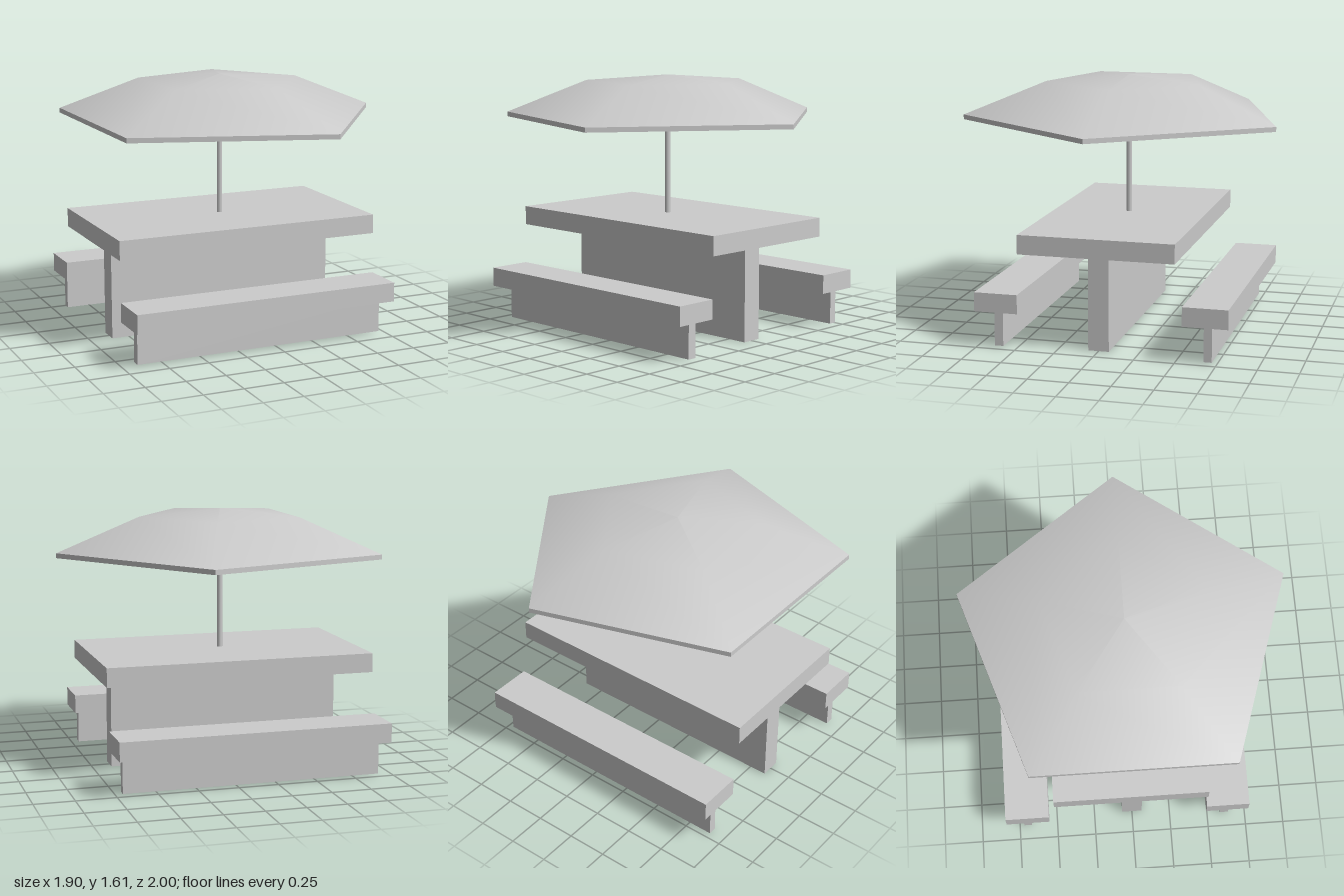
import * as THREE from 'three';

const grey = (options = {}) => new THREE.MeshStandardMaterial({ color: 0xcccccc, ...options });

// Box given by its minimum and maximum on each axis
function slab(name, [x0, x1], [y0, y1], [z0, z1]) {
  const mesh = new THREE.Mesh(new THREE.BoxGeometry(x1 - x0, y1 - y0, z1 - z0), grey());
  mesh.position.set((x0 + x1) / 2, (y0 + y1) / 2, (z0 + z1) / 2);
  mesh.name = name;
  return mesh;
}

// Five-sided surface swept from a profile, one corner pointing to +x
function pentagon(name, profile, options) {
  const points = profile.map(([r, y]) => new THREE.Vector2(r, y));
  const mesh = new THREE.Mesh(new THREE.LatheGeometry(points, 5, Math.PI / 2), grey(options));
  mesh.name = name;
  return mesh;
}

export function createModel() {
  const model = new THREE.Group();
  model.name = 'picnicTable';

  // Table
  model.add(
    slab('tableTop', [-0.95, 0.75], [0.605, 0.725], [-0.5, 0.475]),
    slab('tableSupport', [-0.86, 0.63], [0, 0.605], [-0.065, 0.065]),
  );

  // Benches: seat and support depth ranges
  const benches = [
    ['frontBench', [0.48, 0.755], [0.585, 0.64]],
    ['backBench', [-0.825, -0.545], [-0.72, -0.67]],
  ];
  for (const [name, seatZ, supportZ] of benches) {
    const bench = new THREE.Group();
    bench.name = name;
    bench.add(
      slab('seat', [-0.95, 0.75], [0.23, 0.35], seatZ),
      slab('benchSupport', [-0.91, 0.71], [0.01, 0.23], supportZ),
    );
    model.add(bench);
  }

  // Parasol: pole and a thin hollow canopy
  const parasol = new THREE.Group();
  parasol.name = 'parasol';
  parasol.position.x = -0.1;
  const pole = new THREE.Mesh(new THREE.CylinderGeometry(0.018, 0.018, 0.87, 8), grey());
  pole.name = 'pole';
  pole.position.set(0, 1.155, -0.002);
  parasol.add(
    pole,
    pentagon('canopyTop', [[1.05, 1.36], [0.525, 1.57], [0, 1.61]]),
    pentagon('canopyRim', [[1.05, 1.33], [1.05, 1.36]], { flatShading: true }),
    pentagon('canopyUnderside', [[0, 1.58], [0.525, 1.54], [1.05, 1.33]]),
  );
  model.add(parasol);

  return model;
}
